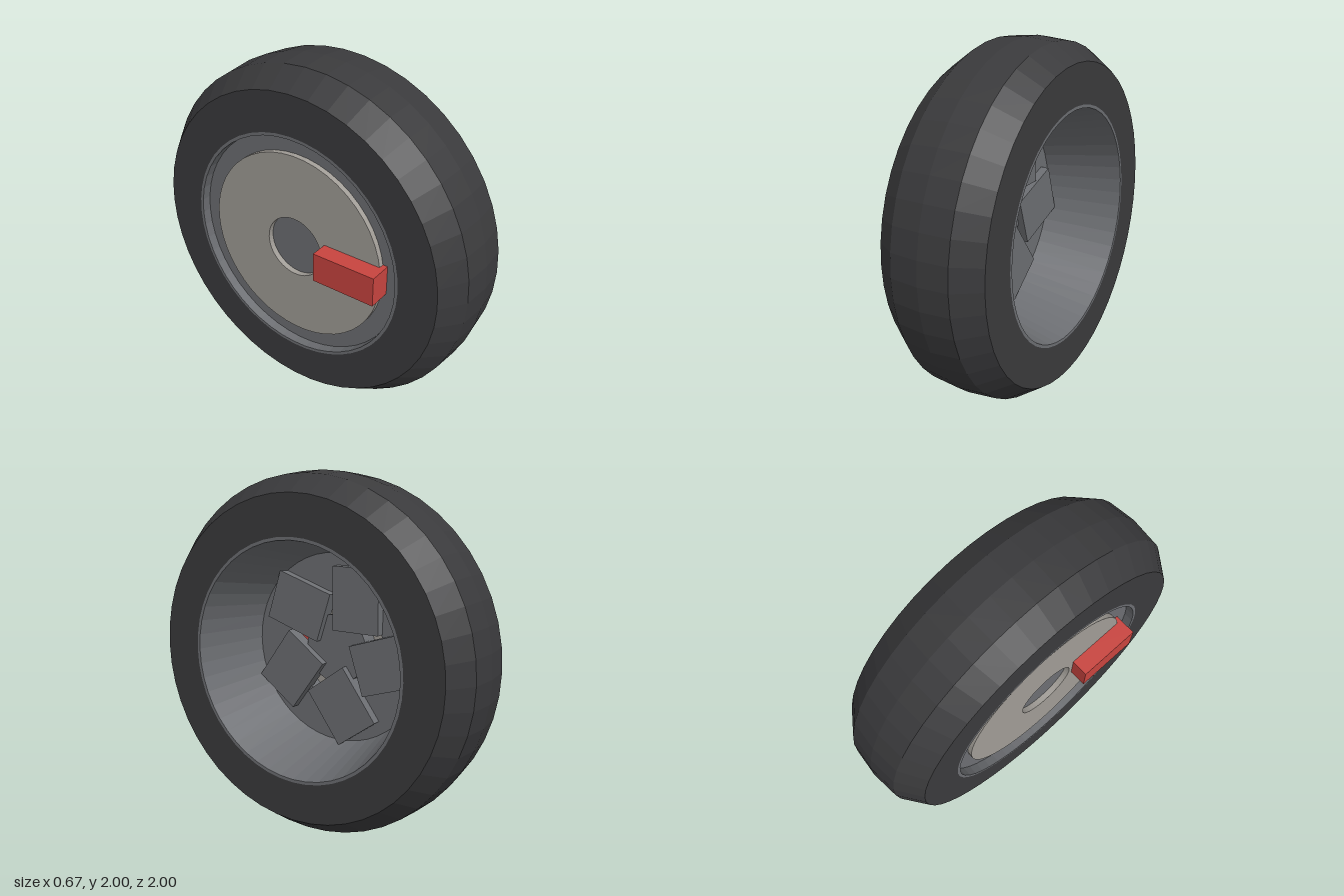
import * as THREE from 'three';

const SIDES = 48;
const mat = (color) => new THREE.MeshStandardMaterial({ color, flatShading: true });

export function createModel() {
  const wheel = new THREE.Group();
  wheel.name = 'wheel';
  const rubber = mat(0x3a3a3c);
  const metal = mat(0x6c6e72);
  const steel = mat(0xa09c96);
  const red = mat(0xc8443f);

  // All round parts are closed [radius, x] profiles turned about the axle (x axis)
  const axle = new THREE.Group();
  axle.name = 'axleParts';
  axle.position.y = 1;
  wheel.add(axle);

  function turned(name, profile, material) {
    const pts = [...profile, profile[0]].map(([r, x]) => new THREE.Vector2(r, x));
    const mesh = new THREE.Mesh(new THREE.LatheGeometry(pts, SIDES), material);
    mesh.rotation.z = -Math.PI / 2;
    mesh.name = name;
    axle.add(mesh);
  }

  // Tyre with bevelled shoulders and a slightly crowned tread
  turned('tyre', [
    [0.667, -0.26], [0.89, -0.26], [0.985, -0.125], [1, 0.0375],
    [0.985, 0.2], [0.89, 0.335], [0.667, 0.335],
  ], rubber);

  // Rim: tapered barrel, rear wall with an opening, thin lips
  turned('rim', [
    [0.667, -0.26], [0.667, 0.335], [0.65, 0.335], [0.55, -0.11],
    [0.31, -0.11], [0.31, -0.205], [0.65, -0.205], [0.65, -0.26],
  ], metal);

  // Brake disc on the inner side
  turned('brakeDisc', [
    [0.177, -0.236], [0.55, -0.236], [0.55, -0.203], [0.177, -0.203],
  ], steel);

  // Hub
  const hub = new THREE.Mesh(new THREE.CylinderGeometry(0.2, 0.2, 0.105, SIDES), metal);
  hub.rotation.z = -Math.PI / 2;
  hub.position.x = -0.15;
  hub.name = 'hub';
  axle.add(hub);

  // Five block spokes, each set to one side of its radius
  for (let i = 0; i < 5; i++) {
    const arm = new THREE.Group();
    arm.name = 'spoke';
    arm.rotation.x = (i * Math.PI * 2) / 5;
    const block = new THREE.Mesh(new THREE.BoxGeometry(0.075, 0.365, 0.295), metal);
    block.name = 'spokeBlock';
    block.position.set(-0.095, 0.297, -0.148);
    arm.add(block);
    axle.add(arm);
  }

  // Brake caliper gripping the disc
  const caliper = new THREE.Mesh(new THREE.BoxGeometry(0.165, 0.17, 0.37), red);
  caliper.name = 'caliper';
  caliper.position.set(-0.2525, 1.005, 0.385);
  wheel.add(caliper);

  return wheel;
}
